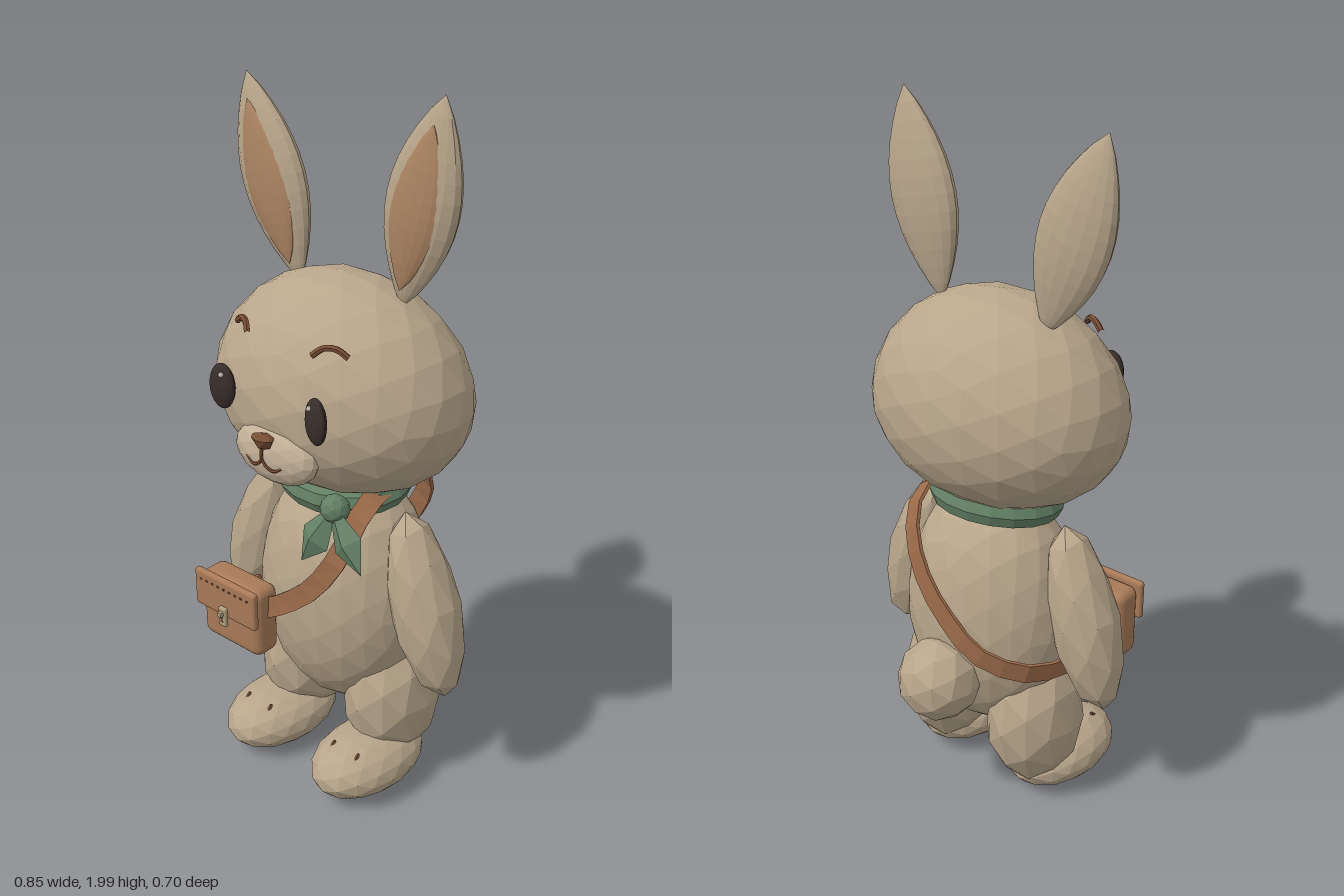
import * as THREE from 'three';
import { RoundedBoxGeometry } from 'three/addons/geometries/RoundedBoxGeometry.js';

const mat = (name, color, extra = {}) => {
  const m = new THREE.MeshStandardMaterial({ color, flatShading: true, ...extra });
  m.name = name;
  return m;
};

export function createModel() {
  const fur = mat('fur', 0xb8a68b);
  const cream = mat('muzzle cream', 0xc2b097);
  const innerEarTan = mat('inner ear', 0xac8462);
  const leather = mat('leather', 0xa87a58);
  const strapBrown = mat('strap leather', 0x9c6b4a, { side: THREE.DoubleSide });
  const brown = mat('dark brown', 0x774d35);
  const green = mat('scarf green', 0x627f64);
  const black = mat('eye black', 0x392e2b);
  const metal = mat('buckle metal', 0xb09a7a);
  const white = mat('eye glint', 0xe0d8cc);

  const root = new THREE.Group();
  root.name = 'rabbit';

  const add = (name, geo, material, pos = [0, 0, 0], rot = [0, 0, 0], parent = root) => {
    const m = new THREE.Mesh(geo, material);
    m.name = name;
    m.position.set(...pos);
    m.rotation.set(...rot);
    parent.add(m);
    return m;
  };

  // Faceted ellipsoid, optionally reshaped by a rule on its unit-sphere vertices
  const blob = (rx, ry, rz, detail, rule) => {
    const g = new THREE.IcosahedronGeometry(1, detail);
    const p = g.attributes.position;
    const v = new THREE.Vector3();
    for (let i = 0; i < p.count; i++) {
      v.fromBufferAttribute(p, i);
      if (rule) rule(v);
      p.setXYZ(i, v.x * rx, v.y * ry, v.z * rz);
    }
    g.computeVertexNormals();
    return g;
  };

  // Pointed leaf solid along y
  const leaf = (w, h, d) => {
    const pts = [];
    for (let i = 0; i <= 12; i++) {
      const t = i / 12;
      pts.push(new THREE.Vector2(Math.max(0, w * Math.sin(Math.PI * t) ** 0.85), (2 * t - 1) * h));
    }
    const g = new THREE.LatheGeometry(pts, 16);
    g.scale(1, 1, d / w);
    return g;
  };

  const tube = (points, r) => new THREE.TubeGeometry(
    new THREE.CatmullRomCurve3(points.map(p => new THREE.Vector3(...p))), 12, r, 6);

  // Head with low cheeks, body and tail
  add('head', blob(0.392, 0.3, 0.287, 3, v => { v.y -= 0.08 * (1 - v.y * v.y); }), fur, [0, 1.212, 0.018]);
  add('body', blob(0.27, 0.37, 0.222, 3, v => {
    if (v.y > 0.4) { const s = 1 + 0.15 * (v.y - 0.4); v.x *= s; v.z *= s; }
  }), fur, [0, 0.565, 0]);
  add('tail', blob(0.12, 0.12, 0.118, 1), fur, [0, 0.425, -0.237]);

  // Limbs, mirrored
  for (const s of [-1, 1]) {
    const side = s > 0 ? 'left' : 'right';
    add(side + 'Arm', blob(0.102, 0.277, 0.098, 1, v => {
      if (v.y > 0) v.x *= 0.92;
    }), fur, [s * 0.307, 0.622, 0.025], [0, 0, s * 0.28]);
    add(side + 'Leg', blob(0.137, 0.215, 0.154, 1), fur, [s * 0.165, 0.26, -0.01]);
    add(side + 'Foot', blob(0.134, 0.085, 0.198, 2, v => {
      if (v.z > 0 && v.y > 0) v.y *= 1 + 0.2 * v.z;
    }), fur, [s * 0.172, 0.09, 0.105]);
    for (const dx of [-0.045, 0.045]) {
      add(side + 'ToeMark', new THREE.CapsuleGeometry(0.006, 0.034, 2, 6), brown,
        [s * 0.172 + dx, 0.153, 0.212], [-0.8, 0, 0]);
    }
  }

  // Ears, each with its own tilt
  for (const [name, x, y, tilt] of [['rightEar', -0.267, 1.7, 0.33], ['leftEar', 0.236, 1.723, -0.22]]) {
    const ear = new THREE.Group();
    ear.name = name;
    ear.position.set(x, y, -0.01);
    ear.rotation.z = tilt;
    root.add(ear);
    add('outerEar', leaf(0.111, 0.284, 0.047), fur, [0, 0, 0], [0, 0, 0], ear);
    add('innerEar', leaf(0.078, 0.222, 0.026), innerEarTan, [0, -0.008, 0.024], [0, 0, 0], ear);
  }

  // Face
  for (const s of [-1, 1]) {
    add('eye', new THREE.SphereGeometry(1, 16, 12).scale(0.039, 0.064, 0.02), black,
      [s * 0.165, 1.232, 0.302], [0, s * -0.2, 0]);
    add('eyeGlint', new THREE.IcosahedronGeometry(0.007, 1), white, [s * 0.155, 1.27, 0.316]);
    add('brow', tube([[s * 0.112, 1.38, 0.258], [s * 0.135, 1.4, 0.24],
      [s * 0.165, 1.4, 0.224], [s * 0.193, 1.381, 0.212]], 0.009), brown);
    add('mouth', tube([[0, 1.083, 0.329], [s * 0.015, 1.067, 0.329],
      [s * 0.038, 1.059, 0.325], [s * 0.062, 1.074, 0.32]], 0.005), brown);
  }
  add('muzzle', blob(0.14, 0.083, 0.055, 2), cream, [0, 1.082, 0.275]);
  add('noseLine', tube([[0, 1.125, 0.326], [0, 1.105, 0.331], [0, 1.083, 0.33]], 0.005), brown);
  const nose = new THREE.OctahedronGeometry(1, 1);
  const np = nose.attributes.position;
  for (let i = 0; i < np.count; i++) {
    const y = np.getY(i);
    np.setXYZ(i, np.getX(i) * 0.036, y * (y > 0 ? 0.009 : 0.034), np.getZ(i) * 0.024);
  }
  nose.computeVertexNormals();
  add('nose', nose, brown, [0, 1.144, 0.325]);

  // Neck scarf with a knot and two tails
  const collar = new THREE.TorusGeometry(0.168, 0.036, 7, 18);
  collar.rotateX(Math.PI / 2).scale(1, 1.05, 0.83);
  add('scarfCollar', collar, green, [0, 0.916, 0.01], [0.1, 0, 0]);
  add('scarfKnot', blob(0.042, 0.04, 0.04, 1), green, [0.135, 0.935, 0.2]);
  for (const [rz, len] of [[-0.42, 0.188], [0.74, 0.19]]) {
    const g = new THREE.LatheGeometry([[0, -len], [0.05, -len * 0.55], [0.012, 0]]
      .map(p => new THREE.Vector2(...p)), 4);
    g.scale(1, 1, 0.55);
    add('scarfTail', g, green, [0.135, 0.935, 0.208], [-0.25, 0, rz]);
  }

  // Shoulder strap: a flat band swept around the body
  const path = new THREE.CatmullRomCurve3([
    [0.165, 0.945, 0.03], [0.175, 0.91, 0.14], [0.155, 0.8, 0.208], [0.09, 0.69, 0.235],
    [-0.01, 0.6, 0.24], [-0.12, 0.53, 0.23], [-0.23, 0.49, 0.17], [-0.285, 0.48, 0.03],
    [-0.24, 0.49, -0.13], [-0.13, 0.54, -0.215], [-0.03, 0.625, -0.232], [0.06, 0.73, -0.23],
    [0.125, 0.85, -0.2], [0.15, 0.93, -0.14]].map(p => new THREE.Vector3(...p)), true);
  const N = 28, pos = [], idx = [];
  for (let i = 0; i < N; i++) {
    const p = path.getPointAt(i / N), t = path.getTangentAt(i / N);
    const n = new THREE.Vector3(p.x / 0.073, (p.y - 0.565) / 0.137, p.z / 0.049).normalize();
    const b = new THREE.Vector3().crossVectors(t, n).normalize();
    n.crossVectors(b, t).normalize();
    for (const [w, h] of [[-1, -1], [1, -1], [1, 1], [-1, 1]]) {
      const q = p.clone().addScaledVector(b, w * 0.029).addScaledVector(n, h * 0.005);
      pos.push(q.x, q.y, q.z);
    }
    for (let k = 0; k < 4; k++) {
      const a = i * 4 + k, c = i * 4 + (k + 1) % 4;
      const d = ((i + 1) % N) * 4 + k, e = ((i + 1) % N) * 4 + (k + 1) % 4;
      idx.push(a, c, d, c, e, d);
    }
  }
  const band = new THREE.BufferGeometry();
  band.setAttribute('position', new THREE.Float32BufferAttribute(pos, 3));
  band.setIndex(idx);
  band.computeVertexNormals();
  add('shoulderStrap', band, strapBrown);

  // Satchel with flap, stitches and clasp
  add('satchelBody', new RoundedBoxGeometry(0.228, 0.218, 0.09, 3, 0.028), leather, [-0.197, 0.502, 0.24]);
  add('satchelFlap', new RoundedBoxGeometry(0.24, 0.12, 0.022, 2, 0.01), leather, [-0.197, 0.56, 0.293]);
  for (let i = 0; i < 9; i++) {
    add('stitch', new THREE.BoxGeometry(0.007, 0.005, 0.005), brown, [-0.197 + (i - 4) * 0.023, 0.592, 0.304]);
  }
  add('claspPlate', new RoundedBoxGeometry(0.03, 0.062, 0.014, 2, 0.006), metal, [-0.197, 0.506, 0.309]);
  add('claspSlot', new THREE.BoxGeometry(0.008, 0.022, 0.005), brown, [-0.197, 0.502, 0.315]);
  add('claspPin', new RoundedBoxGeometry(0.016, 0.016, 0.014, 1, 0.004), metal, [-0.197, 0.518, 0.32]);

  return root;
}
